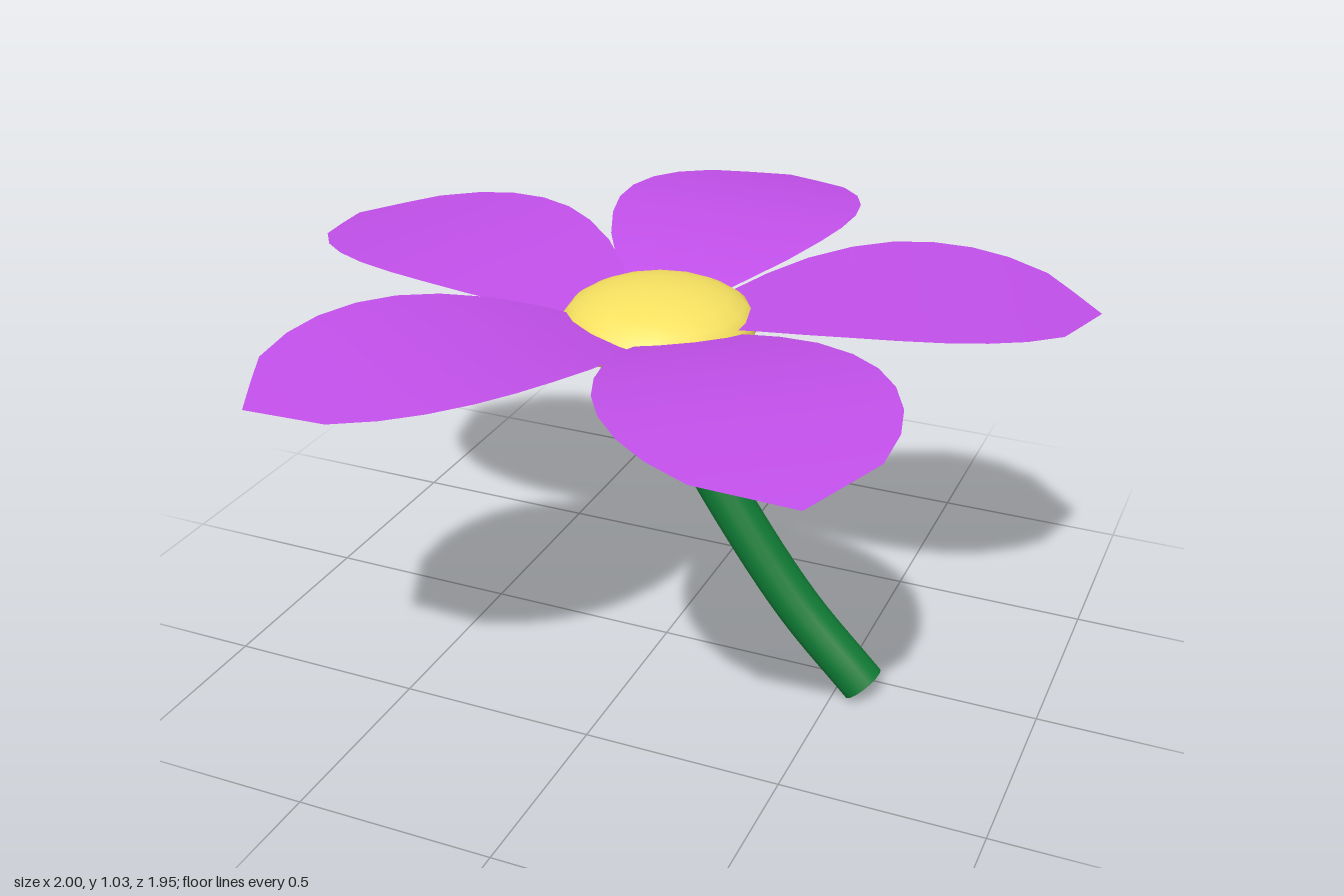
import * as THREE from 'three';

const CENTRE = new THREE.Vector3(0.012, 0, 0.073);

const paint = (color, side = THREE.FrontSide) => new THREE.MeshStandardMaterial({ color, side });

// Petal sheet pointing to -z: rows of [distance from centre, half width]
function petalGeometry() {
  const rows = [
    [0.08, 0.05], [0.16, 0.12], [0.25, 0.185], [0.35, 0.245], [0.46, 0.29], [0.56, 0.315],
    [0.66, 0.32], [0.76, 0.303], [0.85, 0.265], [0.94, 0.198], [0.99, 0.11], [1.05, 0],
  ];
  const columns = 4, offset = -0.043;
  const positions = [], index = [];
  rows.forEach(([t, w], i) => {
    // Arched along the length, straight across the width
    const y = 1.029 - (t < 0.62 ? 0.34 : 0.265) * (t - 0.62) ** 2;
    for (let j = 0; j <= columns; j++) {
      positions.push(offset + w * (2 * j / columns - 1), y, -t);
      if (i && j) {
        const b = i * (columns + 1) + j, a = b - columns - 1;
        index.push(a - 1, a, b, a - 1, b, b - 1);
      }
    }
  });
  const g = new THREE.BufferGeometry();
  g.setAttribute('position', new THREE.Float32BufferAttribute(positions, 3));
  g.setIndex(index);
  g.computeVertexNormals();
  return g;
}

export function createModel() {
  const model = new THREE.Group();
  model.name = 'flower';

  // Five petals around the centre
  const petals = new THREE.Group();
  petals.name = 'petals';
  petals.position.copy(CENTRE);
  const geometry = petalGeometry();
  const petalPaint = paint(0xc04fe8, THREE.DoubleSide);
  for (let i = 0; i < 5; i++) {
    const petal = new THREE.Mesh(geometry, petalPaint);
    petal.name = `petal${i + 1}`;
    petal.rotation.y = i * Math.PI * 2 / 5;
    petals.add(petal);
  }
  model.add(petals);

  // Flattened yellow centre
  const disc = new THREE.Mesh(new THREE.SphereGeometry(1, 16, 12), paint(0xf5e060));
  disc.name = 'flowerCentre';
  disc.scale.set(0.24, 0.098, 0.24);
  disc.position.set(CENTRE.x, 0.936, CENTRE.z);
  model.add(disc);

  // Curved stem, with a flat cap on the cut end
  const path = new THREE.CatmullRomCurve3(
    [[0.572, 0.044], [0.395, 0.228], [0.235, 0.443], [0.1, 0.66], [0.02, 0.84], [0.0, 0.9]]
      .map(([x, y]) => new THREE.Vector3(x, y, 0.077)));
  const stemPaint = paint(0x0f7a34);
  const radius = 0.057;
  const stem = new THREE.Group();
  stem.name = 'stem';
  const stalk = new THREE.Mesh(new THREE.TubeGeometry(path, 20, radius, 16), stemPaint);
  stalk.name = 'stalk';
  const cap = new THREE.Mesh(new THREE.CircleGeometry(radius, 16), stemPaint);
  cap.name = 'stemEnd';
  cap.position.copy(path.getPointAt(0));
  cap.quaternion.setFromUnitVectors(new THREE.Vector3(0, 0, 1), path.getTangentAt(0).negate());
  stem.add(stalk, cap);
  model.add(stem);

  return model;
}
